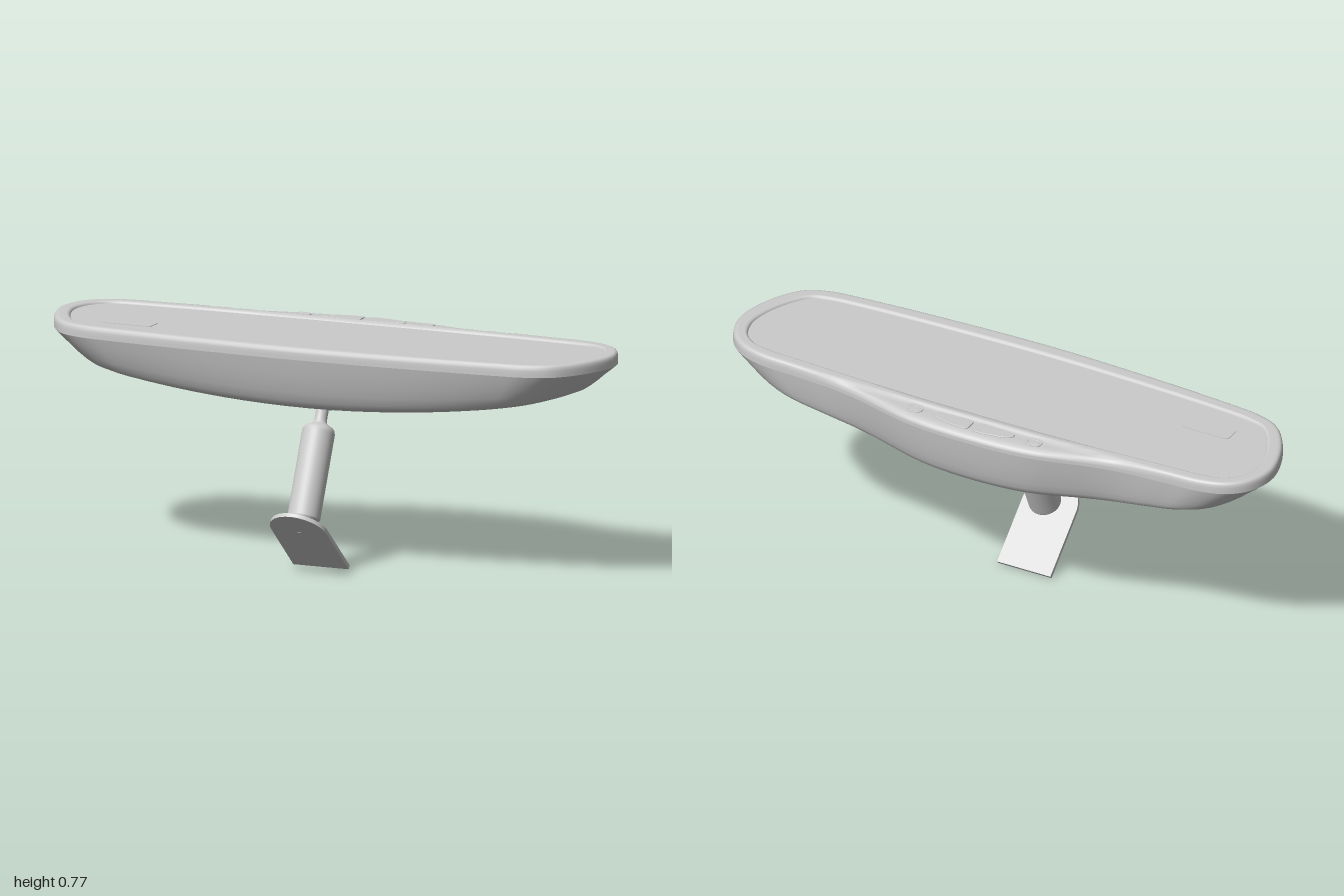
import * as THREE from 'three';

const material = new THREE.MeshStandardMaterial({ color: 0xcccccc });
const N = 160;

function add(parent, name, geometry) {
  const mesh = new THREE.Mesh(geometry, material);
  mesh.name = name;
  parent.add(mesh);
  return mesh;
}

// Half plan from the back centre round to the front centre: outer x, z, then glass x, z
const plan = [
  [0, -0.335, 0, -0.207], [0.15, -0.33, 0.15, -0.207], [0.25, -0.317, 0.25, -0.206],
  [0.35, -0.292, 0.35, -0.204], [0.45, -0.267, 0.45, -0.202], [0.55, -0.25, 0.55, -0.199],
  [0.7, -0.24, 0.7, -0.192], [0.82, -0.233, 0.8, -0.187], [0.91, -0.205, 0.875, -0.173],
  [0.97, -0.15, 0.925, -0.13], [1, -0.06, 0.946, -0.06], [0.983, 0.04, 0.932, 0.02],
  [0.935, 0.14, 0.89, 0.11], [0.88, 0.2, 0.845, 0.163], [0.8, 0.231, 0.785, 0.182],
  [0.7, 0.243, 0.7, 0.192], [0.4, 0.264, 0.4, 0.208], [0, 0.277, 0, 0.217],
];

// Closed smooth outline, mirrored across x
function outline(k) {
  const half = plan.map((p) => new THREE.Vector3(p[k], 0, p[k + 1]));
  const other = half.slice(1, -1).reverse().map((p) => new THREE.Vector3(-p.x, 0, p.z));
  const curve = new THREE.CatmullRomCurve3([...half, ...other], true, 'centripetal');
  return Array.from({ length: N }, (_, i) => curve.getPoint(i / N));
}

// Skin over closed rings, listed so that the outside faces out
function loft(rings) {
  const position = [], index = [];
  rings.forEach((ring) => ring.forEach((p) => position.push(p.x, p.y, p.z)));
  for (let i = 0; i < rings.length - 1; i++) {
    for (let j = 0; j < N; j++) {
      const a = i * N + j, b = i * N + ((j + 1) % N);
      index.push(a, a + N, b, b, a + N, b + N);
    }
  }
  const geometry = new THREE.BufferGeometry();
  geometry.setAttribute('position', new THREE.Float32BufferAttribute(position, 3));
  geometry.setIndex(index);
  geometry.computeVertexNormals();
  return geometry;
}

// Flat raised pad from a shape drawn in (x, -z)
function pad(shape, height, bevel) {
  const geometry = new THREE.ExtrudeGeometry(shape, {
    depth: height, bevelEnabled: bevel > 0, bevelSize: bevel, bevelThickness: bevel,
    bevelSegments: 3, curveSegments: 16,
  });
  return geometry.rotateX(-Math.PI / 2);
}

function roundedRect(w, h, r) {
  const s = new THREE.Shape();
  s.absarc(w / 2 - r, h / 2 - r, r, 0, Math.PI / 2);
  s.absarc(-w / 2 + r, h / 2 - r, r, Math.PI / 2, Math.PI);
  s.absarc(-w / 2 + r, -h / 2 + r, r, Math.PI, Math.PI * 1.5);
  s.absarc(w / 2 - r, -h / 2 + r, r, Math.PI * 1.5, Math.PI * 2);
  s.closePath();
  return s;
}

export function createModel() {
  const model = new THREE.Group();
  model.name = 'rearViewMirror';
  const outer = outline(0), inner = outline(2);
  const head = new THREE.Group();
  head.name = 'mirrorHead';
  model.add(head);

  // Bowed back shell: [x scale, z scale, share of depth], from the middle of the bottom upwards
  const shell = [
    [0, 0, 1], [0.2, 0.18, 1], [0.4, 0.35, 1], [0.6, 0.52, 1], [0.75, 0.65, 1],
    [0.83, 0.73, 0.993], [0.865, 0.79, 0.965], [0.888, 0.835, 0.91], [0.906, 0.868, 0.82],
    [0.93, 0.905, 0.66], [0.955, 0.942, 0.44], [0.98, 0.974, 0.22], [1, 1, 0],
  ];
  add(head, 'backShell', loft(shell.map(([sx, sz, f]) => outer.map((p) => {
    const x = p.x * sx;
    return new THREE.Vector3(x, 0.735 - f * (0.182 - 0.11 * x * x), -0.08 + (p.z + 0.08) * sz);
  }))));

  // Rounded rim, dipping slightly on the control ledge behind the glass
  const rim = [
    [0, 0.735], [0, 0.746], [0, 0.757], [0.03, 0.766], [0.1, 0.772], [0.22, 0.775], [0.4, 0.775],
    [0.55, 0.775], [0.65, 0.775], [0.7, 0.775], [0.74, 0.775], [0.78, 0.775], [0.82, 0.775],
    [0.91, 0.773], [0.97, 0.77], [1, 0.765],
  ];
  add(head, 'rim', loft(rim.map(([u, y]) => outer.map((p, i) => {
    const q = p.clone().lerp(inner[i], u);
    const dip = y > 0.75 ? 0.008 * THREE.MathUtils.smoothstep(-q.z, 0.236, 0.25) : 0;
    return q.setY(y - dip);
  }))));

  // Mirror glass with a small display window
  const glass = [1, 0.5, 0].map((s) => inner.map((p) => new THREE.Vector3(p.x * s, 0.766, p.z * s)));
  add(head, 'mirrorGlass', loft(glass));
  add(head, 'displayWindow', pad(roundedRect(0.178, 0.072, 0.018), 0.002, 0)).position.set(-0.69, 0.766, 0.084);

  // Ledge buttons, mirrored left and right
  for (const side of [1, -1]) {
    const s = new THREE.Shape();
    const at = (x, y) => [side * x, y];
    s.moveTo(...at(0.012, 0.262));
    s.quadraticCurveTo(...at(0.01, 0.252), ...at(0.03, 0.252));
    s.lineTo(...at(0.125, 0.256));
    s.quadraticCurveTo(...at(0.15, 0.258), ...at(0.146, 0.272));
    s.quadraticCurveTo(...at(0.14, 0.286), ...at(0.115, 0.292));
    s.quadraticCurveTo(...at(0.07, 0.302), ...at(0.028, 0.304));
    s.quadraticCurveTo(...at(0.012, 0.304), ...at(0.012, 0.292));
    s.closePath();
    add(head, 'rockerButton', pad(s, 0.006, 0.002)).position.y = 0.763;

    const ring = roundedRect(0.056, 0.042, 0.019);
    ring.holes.push(roundedRect(0.042, 0.028, 0.013));
    add(head, 'smallButtonRing', pad(ring, 0.006, 0.001)).position.set(side * 0.223, 0.763, -0.272);
    add(head, 'smallButton', pad(roundedRect(0.038, 0.024, 0.011), 0.006, 0.001))
      .position.set(side * 0.223, 0.763, -0.272);
  }

  // Socket under the shell
  const socket = add(model, 'socket', new THREE.SphereGeometry(0.07, 40, 24));
  socket.scale.set(0.9, 0.45, 1);
  socket.position.set(0, 0.552, 0.03);

  // Stem: lower neck, thick sleeve and upper neck turned about one leaning axis
  const profile = [
    [0, 0], [0.014, 0], [0.014, 0.033], [0.03, 0.036], [0.036, 0.045], [0.048, 0.047],
    [0.053, 0.051], [0.055, 0.058], [0.055, 0.345], [0.052, 0.357], [0.044, 0.366],
    [0.03, 0.373], [0.023, 0.379], [0.021, 0.39], [0.021, 0.43], [0.026, 0.45], [0, 0.45],
  ].map(([r, y]) => new THREE.Vector2(r, y));
  const stem = add(model, 'stem', new THREE.LatheGeometry(profile, 40));
  stem.position.set(0, 0.143, 0.245);
  stem.rotation.x = -Math.atan2(0.13, 0.287);

  // Mounting plate with a round upper end
  const plate = new THREE.Shape();
  plate.moveTo(-0.1, 0);
  plate.lineTo(0.1, 0);
  plate.lineTo(0.1, 0.235);
  plate.absarc(0, 0.235, 0.1, 0, Math.PI);
  plate.closePath();
  const mount = add(model, 'mountingPlate',
    new THREE.ExtrudeGeometry(plate, { depth: 0.014, bevelEnabled: false, curveSegments: 24 }));
  mount.position.set(0, 0.011, 0.073);
  mount.rotation.x = Math.atan2(0.255, 0.217);

  return model;
}
